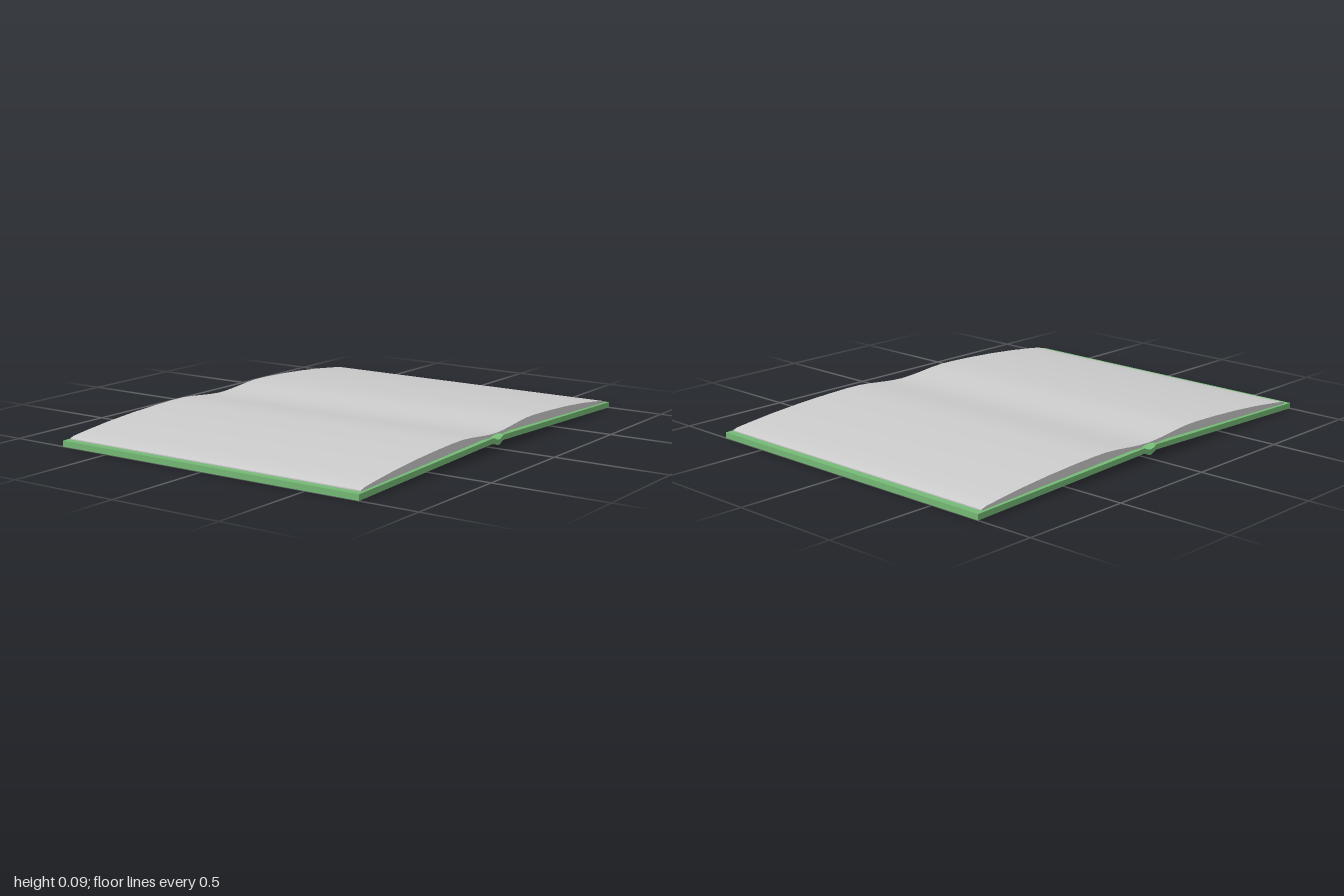
import * as THREE from 'three';
import { toCreasedNormals } from 'three/addons/utils/BufferGeometryUtils.js';

const green = new THREE.MeshStandardMaterial({ color: 0x74b874 });
const paper = new THREE.MeshStandardMaterial({ color: 0xcccccc });

// Solid with a left/right symmetric section, given as upper and lower edges from the middle outward
function symmetricSolid(name, upper, lower, depth, material) {
  const mirror = (pts) => pts.filter(([x]) => x > 0).map(([x, y]) => [-x, y]);
  const outline = [
    ...mirror(lower).reverse(), ...lower,
    ...[...upper].reverse(), ...mirror(upper),
  ].map(([x, y]) => new THREE.Vector2(x, y));
  const geo = new THREE.ExtrudeGeometry(new THREE.Shape(outline), { depth, bevelEnabled: false });
  geo.translate(0, 0, -depth / 2);
  const mesh = new THREE.Mesh(toCreasedNormals(geo, 0.3), material);
  mesh.name = name;
  return mesh;
}

export function createModel() {
  const book = new THREE.Group();
  book.name = 'openBook';

  // Two sloping boards joined by a shallow grooved spine
  book.add(symmetricSolid('cover',
    [[0, 0.038], [0.015, 0.041], [0.04, 0.052], [1, 0.025]],
    [[0, 0.015], [0.012, 0.018], [0.035, 0.03], [0.06, 0.029], [1, 0]],
    1.485, green));

  // Arched page block, thin at the gutter and tapering to the outer edges
  book.add(symmetricSolid('pages',
    [[0, 0.065], [0.05, 0.067], [0.1, 0.071], [0.2, 0.081], [0.26, 0.085], [0.33, 0.085],
      [0.45, 0.081], [0.6, 0.073], [0.75, 0.061], [0.88, 0.047], [0.95, 0.038], [0.97, 0.031]],
    [[0, 0.061], [0.025, 0.059], [0.05, 0.053], [0.12, 0.056], [0.25, 0.051], [0.5, 0.042], [0.75, 0.034], [0.97, 0.0265]],
    1.46, paper));

  return book;
}
